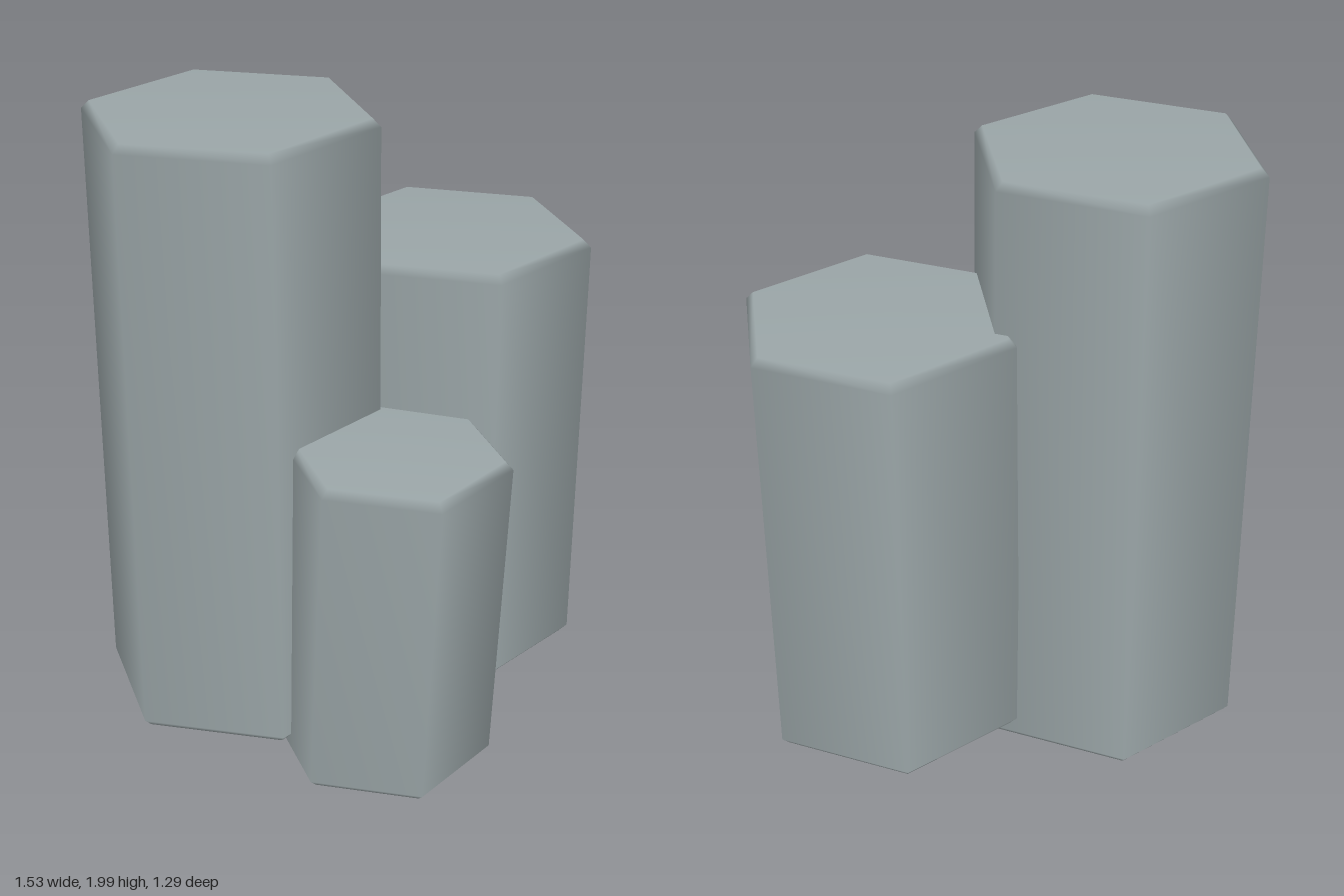
import * as THREE from 'three';

// Hexagonal column with a small chamfer round both ends, centred on its own middle
function hexColumn(radius, height, chamfer = 0.025) {
  const h = height / 2;
  const profile = [
    [0, -h], [radius - chamfer, -h], [radius, -h + chamfer],
    [radius, h - chamfer], [radius - chamfer, h], [0, h],
  ].map(([r, y]) => new THREE.Vector2(r, y));
  // corners point along x, flats face front and back
  return new THREE.LatheGeometry(profile, 6, Math.PI / 2);
}

export function createModel() {
  const group = new THREE.Group();
  group.name = 'basaltColumns';

  const stone = new THREE.MeshStandardMaterial({ color: 0x9aa5a7 });
  stone.name = 'grey stone';

  const columns = [
    { name: 'tallColumn', r: 0.45, h: 1.92, pos: [-0.32, 1.04, -0.255], rot: [0, 0, 0] },
    { name: 'middleColumn', r: 0.44, h: 1.4, pos: [0.31, 0.83, 0.055], rot: [0, -0.005, -0.02] },
    { name: 'shortColumn', r: 0.345, h: 1.05, pos: [-0.25, 0.545, 0.307], rot: [0.055, 0.05, -0.005] },
  ];

  for (const { name, r, h, pos, rot } of columns) {
    const column = new THREE.Mesh(hexColumn(r, h), stone);
    column.name = name;
    column.position.set(...pos);
    column.rotation.set(...rot);
    group.add(column);
  }
  return group;
}
